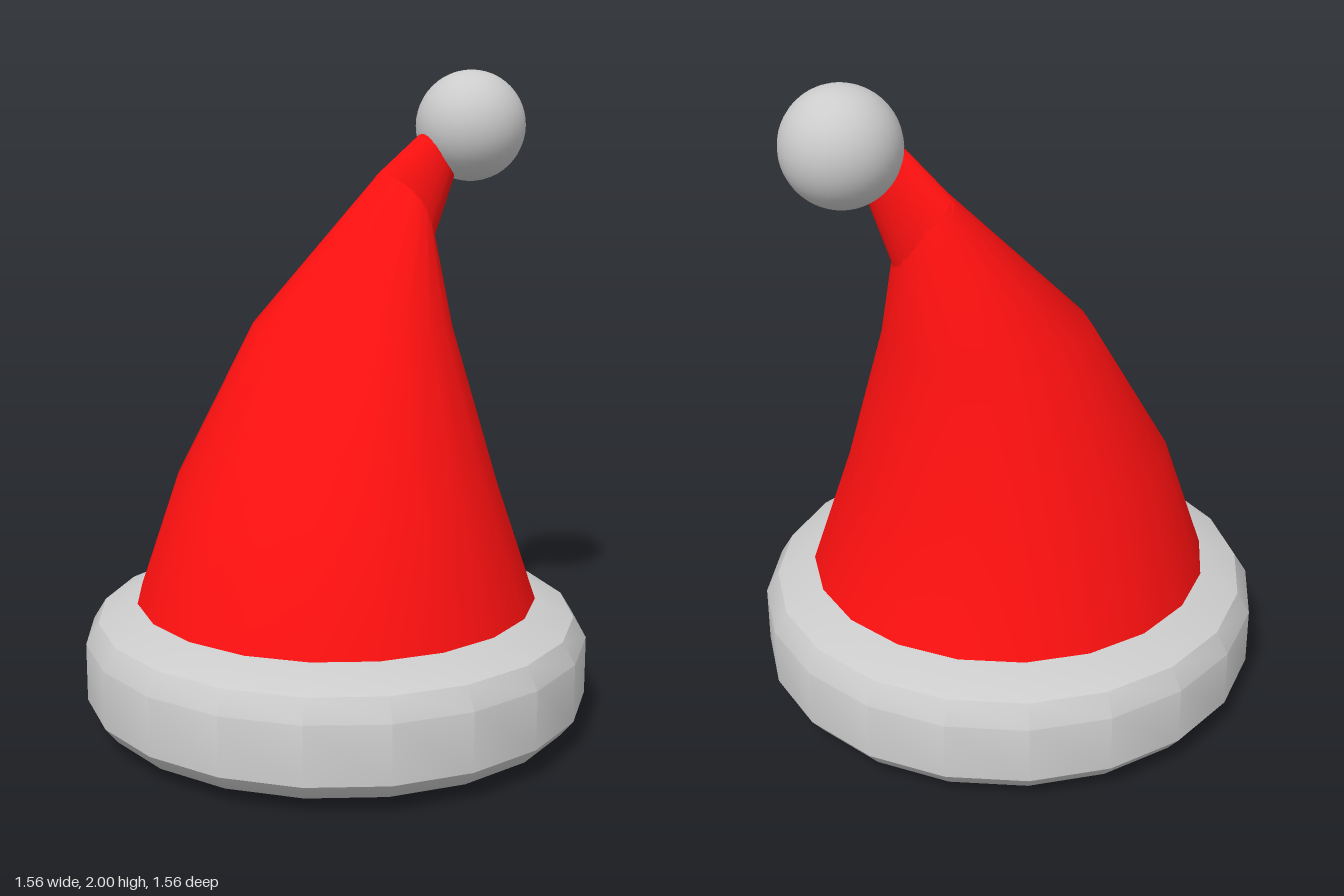
import * as THREE from 'three';
import { toCreasedNormals } from 'three/addons/utils/BufferGeometryUtils.js';

const SIDES = 20;

// Smooth skin over elliptical rings: [cx, cy, cz, rx, rz, riseX, riseZ]
// (riseX / riseZ tilt the ring by lifting its +x / +z side)
function loft(rings) {
  const pos = [], index = [];
  for (const [cx, cy, cz, rx, rz, riseX, riseZ] of rings) {
    for (let i = 0; i < SIDES; i++) {
      const a = (i / SIDES) * Math.PI * 2;
      const s = Math.sin(a), c = Math.cos(a);
      pos.push(cx + rx * s, cy + riseX * s + riseZ * c, cz + rz * c);
    }
  }
  for (let r = 0; r < rings.length - 1; r++) {
    for (let i = 0; i < SIDES; i++) {
      const j = (i + 1) % SIDES;
      const a = r * SIDES + i, b = r * SIDES + j;
      index.push(a, b, b + SIDES, a, b + SIDES, a + SIDES);
    }
  }
  const geo = new THREE.BufferGeometry();
  geo.setAttribute('position', new THREE.Float32BufferAttribute(pos, 3));
  geo.setIndex(index);
  geo.computeVertexNormals();
  return geo;
}

export function createModel() {
  const hat = new THREE.Group();
  hat.name = 'hat';
  const grey = new THREE.MeshStandardMaterial({ color: 0xcccccc });
  const red = new THREE.MeshStandardMaterial({ color: 0xff1010, side: THREE.DoubleSide });

  const add = (name, geometry, material) => {
    const mesh = new THREE.Mesh(geometry, material);
    mesh.name = name;
    hat.add(mesh);
    return mesh;
  };

  // Thick rounded band, closed underneath and above
  const profile = [
    [0, 0], [0.66, 0.02], [0.74, 0.05], [0.78, 0.1],
    [0.78, 0.28], [0.74, 0.345], [0.62, 0.4], [0, 0.4],
  ].map(([x, y]) => new THREE.Vector2(x, y));
  add('brim', toCreasedNormals(new THREE.LatheGeometry(profile, SIDES), 0.57), grey);

  // Main cone, leaning back as it narrows
  add('cone', loft([
    [0, 0.4, 0, 0.62, 0.62, 0, 0],
    [0, 0.77, 0, 0.495, 0.495, 0, 0],
    [0, 1.23, -0.12, 0.31, 0.31, 0, 0],
    [0.09, 1.62, -0.31, 0.088, 0.06, -0.04, 0.05],
  ]), red);

  // Folded-over tip, running into the pompom
  add('tip', loft([
    [0.09, 1.57, -0.31, 0.1, 0.062, -0.07, 0.08],
    [0.185, 1.745, -0.35, 0.06, 0.062, -0.04, 0.04],
    [0.25, 1.82, -0.42, 0.04, 0.04, -0.02, 0.02],
  ]), red);

  // Pompom
  add('pompom', new THREE.SphereGeometry(0.172, 32, 24), grey).position.set(0.26, 1.828, -0.445);

  return hat;
}
